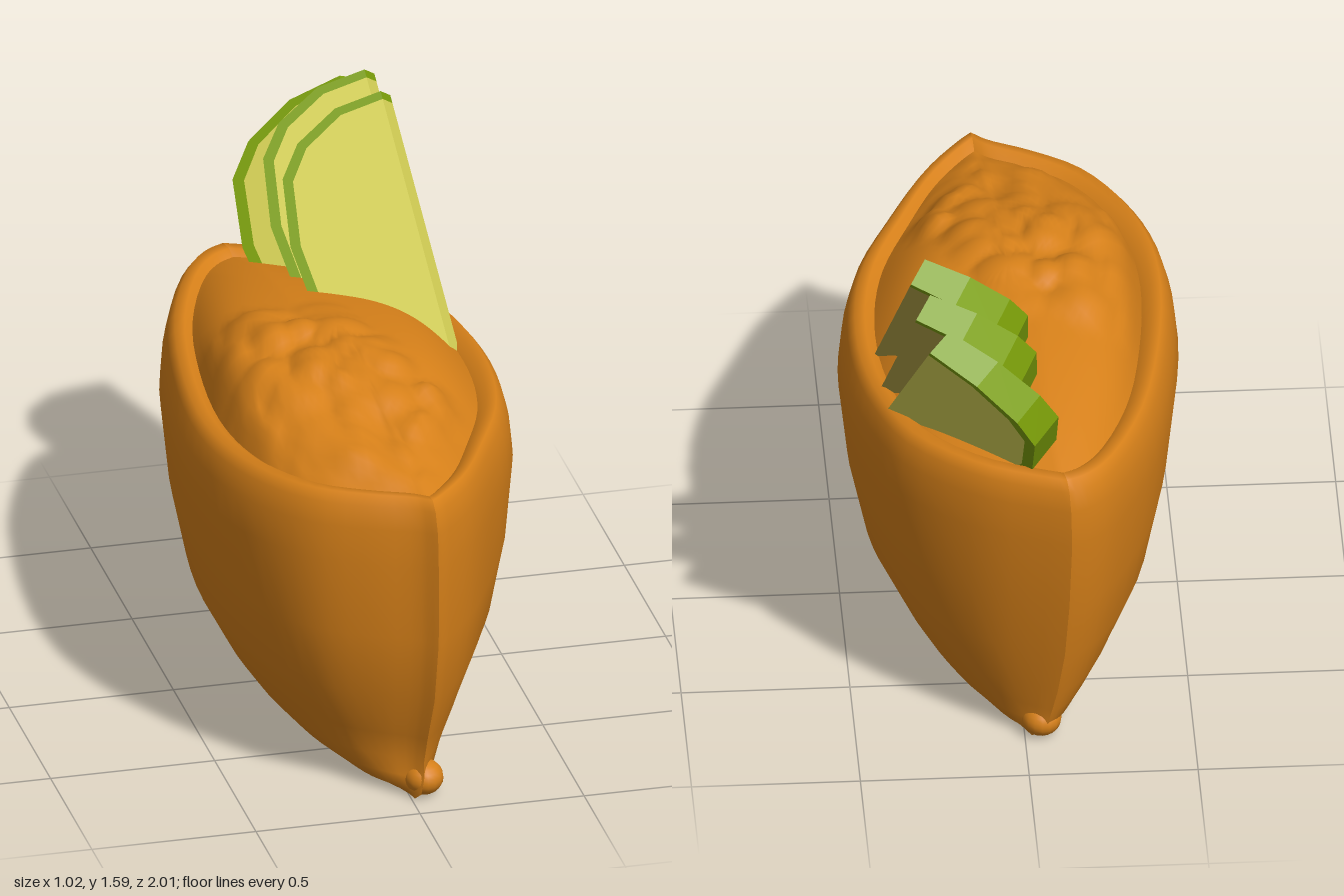
import * as THREE from 'three';
import { mergeVertices } from 'three/addons/utils/BufferGeometryUtils.js';

const mat = (name, color, side = THREE.FrontSide) => {
  const m = new THREE.MeshStandardMaterial({ color, side });
  m.name = name;
  return m;
};

// Half outlines of the pouch, seen from above, as [x, z]
const RIGHT = [[0.06, 1], [0.11, 0.95], [0.22, 0.81], [0.34, 0.58], [0.45, 0.33], [0.5, 0.08], [0.5, -0.2], [0.45, -0.45], [0.35, -0.68], [0.14, -0.88], [-0.05, -0.97], [-0.13, -1]];
const LEFT = [[-0.13, -1], [-0.19, -0.97], [-0.27, -0.88], [-0.4, -0.58], [-0.48, -0.2], [-0.51, 0.18], [-0.48, 0.43], [-0.4, 0.64], [-0.28, 0.8], [-0.12, 0.9], [0.01, 0.96], [0.06, 1]];
const sample = (pts, n) =>
  new THREE.CatmullRomCurve3(pts.map(([x, z]) => new THREE.Vector3(x, 0, z))).getPoints(n);

// Skin a stack of equally long rows of points
function loft(rows, merge = false) {
  const n = rows[0].length, pos = [], idx = [];
  rows.forEach(r => r.forEach(p => pos.push(p.x, p.y, p.z)));
  for (let j = 0; j < rows.length - 1; j++)
    for (let i = 0; i < n - 1; i++) {
      const a = j * n + i, c = a + n;
      idx.push(a, a + 1, c, a + 1, c + 1, c);
    }
  let g = new THREE.BufferGeometry();
  g.setAttribute('position', new THREE.Float32BufferAttribute(pos, 3));
  g.setIndex(idx);
  if (merge) g = mergeVertices(g, 1e-4);
  g.computeVertexNormals();
  return g;
}

// Pouch levels: height, width scale, front z, back z
const LEVELS = [
  [0.015, 0, 0.84, -0.72], [0.005, 0.16, 0.9, -0.79], [0.03, 0.36, 0.93, -0.82], [0.07, 0.5, 0.925, -0.83],
  [0.12, 0.6, 0.905, -0.835], [0.2, 0.71, 0.92, -0.86], [0.35, 0.865, 0.97, -0.89],
  [0.55, 0.95, 1, -0.93], [0.78, 1, 0.99, -0.955], [0.9, 0.98, 0.985, -0.955],
  [0.965, 0.945, 0.965, -0.945], [0.995, 0.9, 0.94, -0.92], [0.995, 0.84, 0.91, -0.88], [0.965, 0.77, 0.87, -0.84],
];

function pouchHalf(pts) {
  const base = sample(pts, 36);
  return loft(LEVELS.map(([y, s, zf, zb]) => base.map(p => {
    const sag = y > 0.8 ? 0.025 * (1 - p.z * p.z) : 0;
    return new THREE.Vector3(p.x * s, y - sag, p.z > 0 ? p.z * zf : -p.z * zb);
  })));
}

// Lumpy mound that fills the pouch, steep on the left and sloping on the right
function fillingGeometry() {
  let seed = 11;
  const rnd = () => (seed = (seed * 16807) % 2147483647) / 2147483647;
  const grains = [];
  for (let i = 0; i < 75; i++) {
    const z = -0.15 + rnd() * 0.95;
    const x = -0.38 + rnd() * (z > 0.3 ? 0.62 : 0.48);
    grains.push([x, z, 0.06 + rnd() * 0.05, 0.015 + rnd() * 0.03]);
  }
  const outline = [...sample(RIGHT, 44), ...sample(LEFT, 44).slice(1)];
  const rows = [];
  for (let k = 0; k <= 26; k++) {
    const t = 1 - k / 26;
    rows.push(outline.map(p => {
      const x = p.x * 0.785 * t, z = p.z * 0.88 * t;
      const edge = 1 - t ** (5 - 4 * x);
      let lump = 0;
      for (const [gx, gz, r, h] of grains) {
        const d = ((x - gx) ** 2 + (z - gz) ** 2) / (r * r);
        if (d < 1) lump = Math.max(lump, h * (1 - d));
      }
      const spread = z > 0.1 ? 0.55 : 0.9;
      const dome = 0.01 + 0.17 * Math.exp(-(((z - 0.1) / spread) ** 2)) * (1 - 0.5 * Math.abs(x + 0.08));
      const rim = 0.975 - 0.025 * (1 - z * z);
      return new THREE.Vector3(x, rim + edge * dome + Math.min(1, edge * 2) * lump, z);
    }));
  }
  return loft(rows, true);
}

// Cucumber slice: half disc with a straight cut on its right, thicker towards the round side
const ARC = [[0, 0.826], [-0.145, 0.815], [-0.28, 0.745], [-0.35, 0.655], [-0.38, 0.45], [-0.36, 0.25], [-0.28, 0.02], [-0.14, -0.11], [0, -0.13]];
const INNER = ARC.map(([u, v]) => [u * 0.92, 0.33 + (v - 0.33) * 0.95]);
function slab(pts) {
  const shape = new THREE.Shape(pts.map(([u, v]) => new THREE.Vector2(u, v)));
  const g = new THREE.ExtrudeGeometry(shape, { depth: 1, bevelEnabled: false }).translate(0, 0, -1);
  const p = g.attributes.position;
  for (let i = 0; i < p.count; i++)
    if (p.getZ(i) < -0.5) {
      const u = p.getX(i);
      p.setXYZ(i, u + 0.014, p.getY(i), -0.088 + 0.08 * u);
    }
  g.computeVertexNormals();
  // Back face gets its own material slot
  const caps = g.groups[0].count, sides = g.groups[1].count;
  g.clearGroups();
  g.addGroup(0, caps / 2, 1);
  g.addGroup(caps / 2, caps / 2 + sides, 0);
  return g;
}

export function createModel() {
  const model = new THREE.Group();
  const tofu = mat('fried brown', 0xd68019, THREE.DoubleSide);
  const flesh = mat('cucumber flesh', 0xd9d558);
  const innerFlesh = mat('deep cucumber flesh', 0xb4a548);
  const skin = mat('cucumber skin', 0x7ea20a);
  const add = (parent, name, geo, material) => {
    const m = new THREE.Mesh(geo, material);
    m.name = name;
    parent.add(m);
    return m;
  };

  add(model, 'pouchRightHalf', pouchHalf(RIGHT), tofu);
  add(model, 'pouchLeftHalf', pouchHalf(LEFT), tofu);
  add(model, 'filling', fillingGeometry(), tofu);

  // Pinched nubs at the bottom ends
  const nub = new THREE.SphereGeometry(1, 16, 12);
  [['frontNub', 0.045, 0.86], ['backNub', -0.05, -0.77]].forEach(([name, x, z]) => {
    const m = add(model, name, nub, tofu);
    m.position.set(x, 0.056, z);
    m.scale.set(0.06, 0.053, 0.065);
  });

  // Three slices leaning backwards: base corner, width scale, turn, roll
  const basis = new THREE.Matrix4().makeBasis(
    new THREE.Vector3(0.924, 0.309, 0.217),
    new THREE.Vector3(-0.097, 0.75, -0.654),
    new THREE.Vector3(-0.365, 0.584, 0.723));
  const fleshGeo = slab(INNER), skinGeo = slab([...ARC, ...[...INNER].reverse()]);
  [[0.365, 0.97, -0.07, 1, 0, 0], [0.36, 0.96, -0.245, 1.03, 0, 0], [0.345, 0.915, -0.335, 1.18, -0.18, 0.05]]
    .forEach(([x, y, z, width, turn, roll], i) => {
      const slice = new THREE.Group();
      slice.name = 'cucumberSlice' + (i + 1);
      slice.quaternion.setFromRotationMatrix(basis);
      slice.rotateY(turn);
      slice.rotateZ(roll);
      slice.position.set(x, y, z);
      slice.scale.x = width;
      add(slice, 'sliceFlesh', fleshGeo, [flesh, i < 2 ? innerFlesh : flesh]);
      add(slice, 'sliceSkin', skinGeo, [skin, skin]);
      model.add(slice);
    });
  return model;
}
